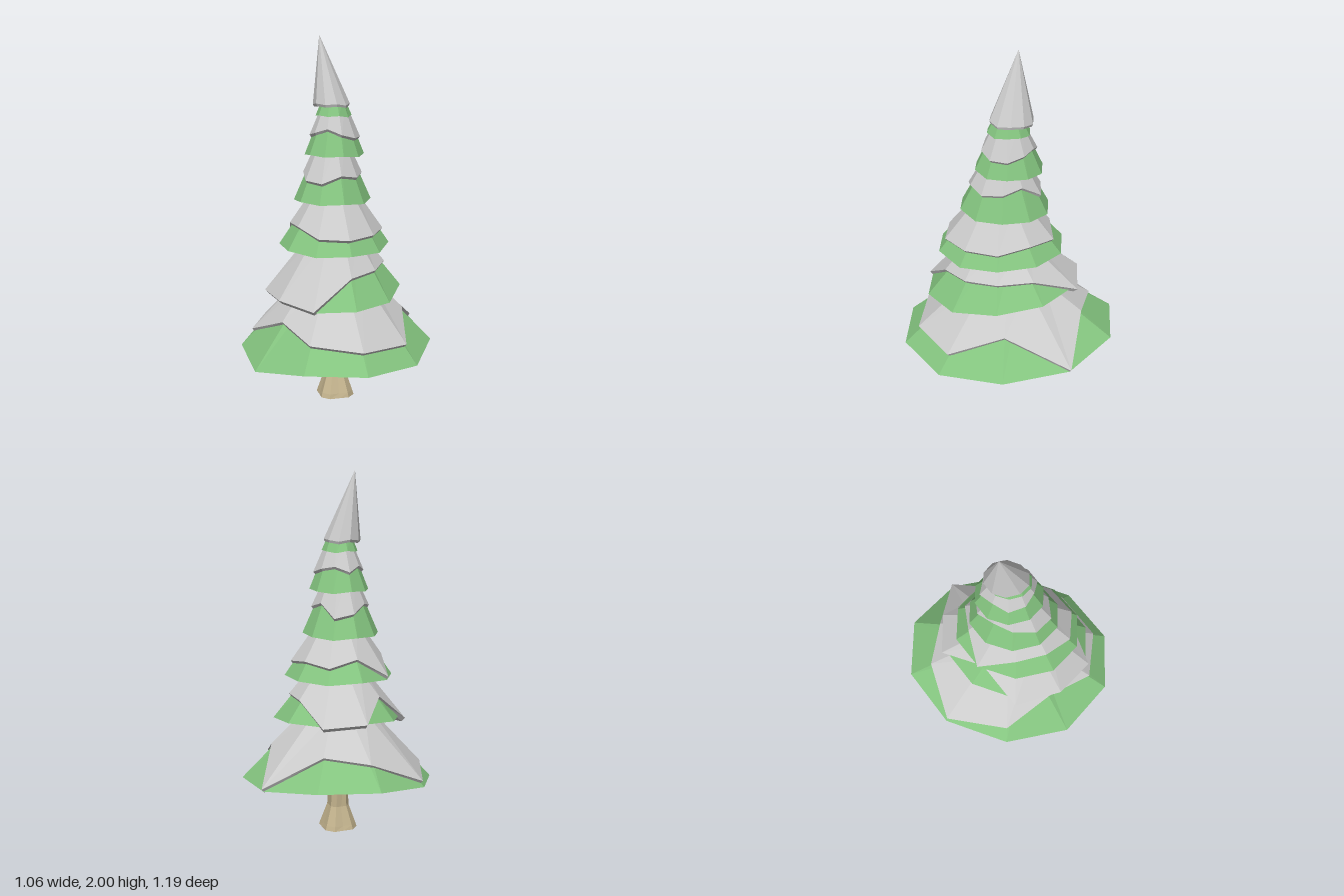
import * as THREE from 'three';

const GREEN = 0x84c47f, SNOW = 0xcccccc, BARK = 0xc4b48e;

// Closed, faceted skin over rings listed from bottom to top
function loft(name, rings, color) {
  const v = [];
  const n = rings[0].length;
  const tri = (...pts) => pts.forEach((p) => v.push(...p));
  const centre = (ring) => [0, 1, 2].map((k) => ring.reduce((s, p) => s + p[k], 0) / n);
  const first = rings[0], last = rings[rings.length - 1];
  const lowMid = centre(first), topMid = centre(last);
  for (let i = 0; i < n; i++) {
    const j = (i + 1) % n;
    for (let r = 0; r + 1 < rings.length; r++) {
      const a = rings[r], b = rings[r + 1];
      tri(a[i], a[j], b[j]);
      tri(a[i], b[j], b[i]);
    }
    tri(lowMid, first[j], first[i]);
    tri(topMid, last[i], last[j]);
  }
  const geo = new THREE.BufferGeometry();
  geo.setAttribute('position', new THREE.Float32BufferAttribute(v, 3));
  geo.computeVertexNormals();
  const mesh = new THREE.Mesh(geo, new THREE.MeshStandardMaterial({ color, flatShading: true }));
  mesh.name = name;
  return mesh;
}

// Ellipse of points, starting at the front and running towards +x; tilt raises it along z
function oval(cx, y, cz, rx, rz, tilt = 0, n = 10) {
  return Array.from({ length: n }, (_, i) => {
    const a = ((i - 0.42) / n) * Math.PI * 2;
    const z = cz + rz * Math.cos(a);
    return [cx + rx * Math.sin(a), y + tilt * z, z];
  });
}

const ripple = Array.from({ length: 10 }, (_, i) => 0.006 * Math.sin(i * 2.3));

// One layer of branches narrowing by k up to height top, with an optional snow skirt.
// snow tells how far up the slope the skirt's edge lies at each rim point.
function addTier(tree, index, { cx, cz, y, rx, rz, tilt, bumps = ripple, top, k, snow }) {
  const rim = oval(cx, y, cz, rx, rz, tilt).map(([x, h, z], i) => [x, h + bumps[i], z]);
  const scaled = ([x, h, z], s, dy) => [cx + (x - cx) * s, h + dy, cz + (z - cz) * s];
  const at = (p, t) => scaled(p, 1 + (k - 1) * t, (top - p[1]) * t);
  tree.add(loft(`branchTier${index}`, [rim, rim.map((p) => at(p, 1.25))], GREEN));
  if (!snow) return;
  const grow = 0.012 / rx;
  tree.add(loft(`snowTier${index}`, [
    rim.map((p, i) => scaled(at(p, snow[i]), 1 - grow * 0.5, -0.006)),
    rim.map((p, i) => scaled(at(p, snow[i]), 1 + grow, 0.014)),
    rim.map((p) => scaled(at(p, 1.12), 1 + grow, 0.014)),
  ], SNOW));
}

export function createModel() {
  const tree = new THREE.Group();
  tree.name = 'snowyTree';

  // Trunk with flared, lobed roots
  const section = (y, cz, rx, rz, lobe) =>
    oval(-0.005, y, cz, rx, rz, 0, 12).map(([x, h, z], i) => {
      const s = i % 3 === 1 ? 1 - lobe : 1;
      return [x * s, h, cz + (z - cz) * s];
    });
  tree.add(loft('trunk', [
    section(0, 0.015, 0.108, 0.12, 0.14),
    section(0.025, 0.015, 0.1, 0.113, 0.16),
    section(0.13, 0.01, 0.061, 0.07, 0.16),
    section(0.36, 0.008, 0.052, 0.062, 0.1),
  ], BARK));

  // Branch layers, from the wide bottom one up
  addTier(tree, 1, {
    cx: 0, cz: 0, y: 0.3, rx: 0.532, rz: 0.618, top: 0.64, k: 0.39,
    bumps: [-0.01, -0.02, -0.03, 0.01, 0.04, 0.085, 0.08, 0.03, -0.02, -0.06],
    snow: [0.32, 0.25, 0.24, 0.53, 0, 0.5, 0.38, 0.06, 0.22, 0.56],
  });
  addTier(tree, 2, {
    cx: 0, cz: 0.045, y: 0.637, rx: 0.355, rz: 0.425, tilt: -0.12, top: 0.88, k: 0.45,
    snow: [-0.02, 0.48, 0.52, 0.5, 0.45, -0.08, -0.06, 0.5, -0.12, -0.02],
  });
  addTier(tree, 3, {
    cx: -0.01, cz: 0.045, y: 0.876, rx: 0.3, rz: 0.355, tilt: -0.04, top: 1.13, k: 0.43,
    snow: [0.28, 0.24, 0.28, 0.26, 0.35, 0.28, 0.42, 0.02, 0.4, 0.42],
  });
  addTier(tree, 4, {
    cx: -0.02, cz: 0.025, y: 1.115, rx: 0.21, rz: 0.25, top: 1.38, k: 0.45,
    snow: [0.36, 0.5, 0.46, 0.5, 0.62, 0.36, 0.42, 0.6, 0.52, 0.38],
  });
  addTier(tree, 5, {
    cx: -0.01, cz: 0, y: 1.36, rx: 0.162, rz: 0.187, top: 1.58, k: 0.46,
    snow: [0.6, 0.45, 0.38, 0.36, 0.48, 0.56, 0.4, 0.55, 0.42, 0.48],
  });
  addTier(tree, 6, { cx: -0.014, cz: 0.002, y: 1.57, rx: 0.098, rz: 0.118, top: 1.64, k: 0.7 });

  // Leaning snow peak
  const base = oval(-0.027, 1.632, -0.012, 0.1, 0.12).map(([x, y, z], i) => [x, y + ripple[i], z]);
  tree.add(loft('snowPeak', [
    base.map(([x, y, z]) => [x * 0.95, y - 0.014, z * 0.95]),
    base,
    base.map(() => [-0.093, 2, -0.04]),
  ], SNOW));

  return tree;
}
